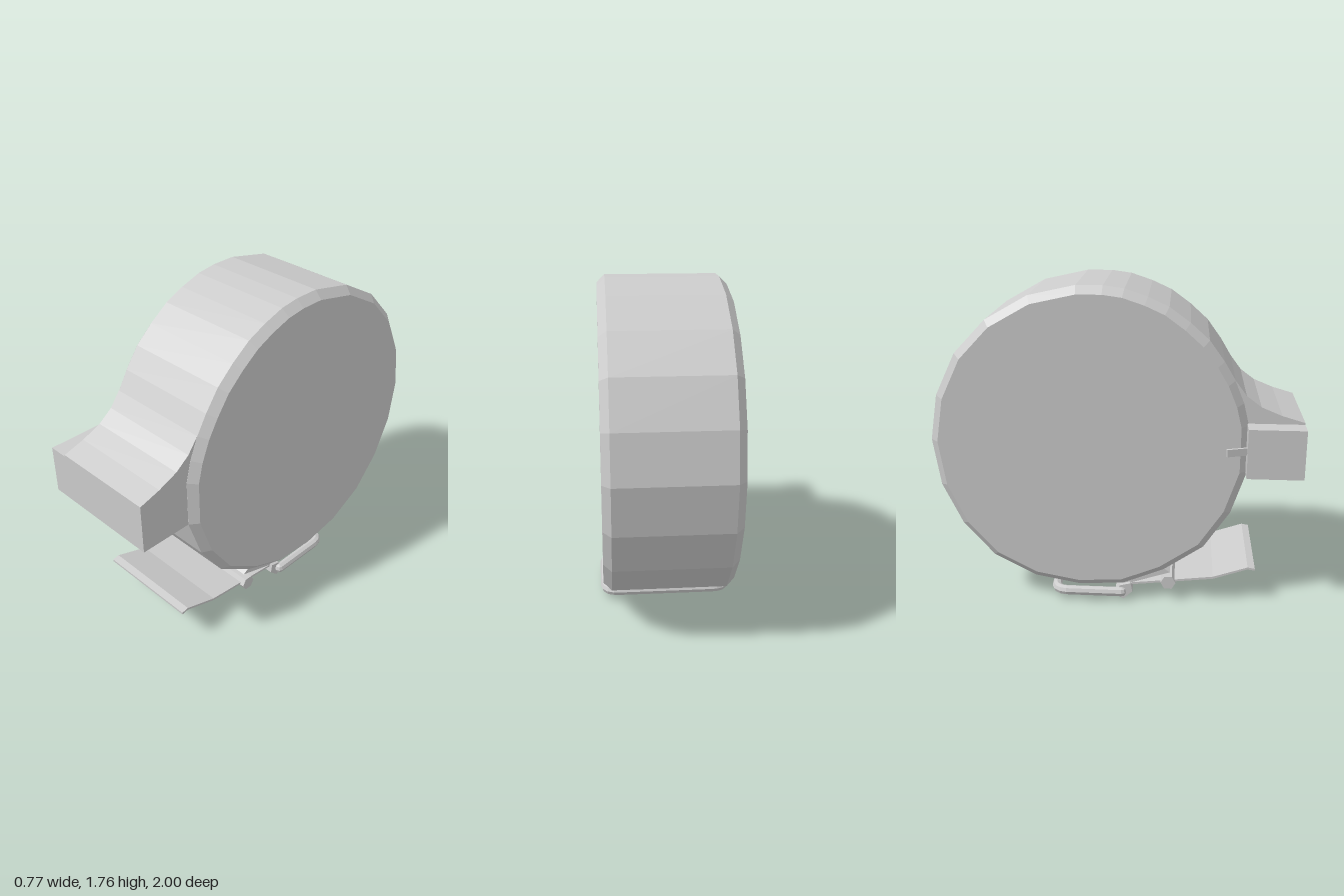
import * as THREE from 'three';

const grey = new THREE.MeshStandardMaterial({ color: 0xcccccc, flatShading: true });

export function createModel() {
  const model = new THREE.Group();

  function add(name, geometry, x = 0, y = 0, z = 0) {
    const mesh = new THREE.Mesh(geometry, grey);
    mesh.name = name;
    mesh.position.set(x, y, z);
    model.add(mesh);
    return mesh;
  }

  // Side outline given as [z, y], extruded along x from x0 to x1, optional chamfer
  function sideExtrude(points, x0, x1, chamfer = 0) {
    const shape = new THREE.Shape(points.map(([z, y]) => new THREE.Vector2(-z, y)));
    return new THREE.ExtrudeGeometry(shape, {
      depth: x1 - x0 - 2 * chamfer,
      bevelEnabled: chamfer > 0,
      bevelSegments: 1,
      bevelSize: chamfer,
      bevelOffset: -chamfer,
      bevelThickness: chamfer,
    }).translate(0, 0, x0 + chamfer).rotateY(Math.PI / 2);
  }

  // Chamfered round case: coarse at the back and bottom, finer at the upper front
  const caseOutline = [
    [-0.06, 1.765], [-0.2, 1.765], [-0.45, 1.71], [-0.68, 1.58], [-0.85, 1.4], [-0.96, 1.17],
    [-1, 0.92], [-0.96, 0.66], [-0.85, 0.43], [-0.68, 0.24], [-0.45, 0.12], [-0.2, 0.075],
    [0.05, 0.09], [0.27, 0.18], [0.49, 0.33], [0.63, 0.54], [0.71, 0.78], [0.71, 1.04],
    [0.68, 1.16], [0.63, 1.28], [0.57, 1.38], [0.49, 1.49], [0.39, 1.58], [0.28, 1.66],
    [0.17, 1.71], [0.05, 1.75],
  ];
  add('case', sideExtrude(caseOutline, -0.31, 0.365, 0.042));

  // Mouth: curved fairing flowing into a square block that sticks out to one side
  add('mouthFairing', sideExtrude([
    [0.5, 1.3], [0.5, 0.78], [1, 0.78], [1, 1.06], [0.88, 1.095], [0.77, 1.14],
    [0.69, 1.2], [0.63, 1.28],
  ], -0.27, 0.322));
  add('mouthBlock', new THREE.BoxGeometry(0.13, 0.27, 0.3), -0.315, 0.915, 0.85);

  // Small catch behind the block
  const catchBar = add('catch', new THREE.BoxGeometry(0.015, 0.04, 0.12), -0.36, 0.92, 0.65);
  catchBar.rotation.y = 0.33;

  // Thin bent lever under the front, with its hinge rod and mount
  add('lever', sideExtrude([
    [0.78, 0.205], [0.74, 0.212], [0.55, 0.147], [0.3, 0.117], [0.08, 0.092],
    [0.08, 0.08], [0.3, 0.105], [0.55, 0.134], [0.74, 0.2], [0.78, 0.193],
  ], -0.27, 0.322));
  add('leverMount', sideExtrude([
    [0.31, 0.165], [0.27, 0.19], [0.04, 0.11], [0.05, 0.08],
  ], -0.27, 0.322));
  const hexRod = new THREE.CylinderGeometry(0.042, 0.042, 0.64, 6).rotateZ(Math.PI / 2);
  add('leverHinge', hexRod, 0.028, 0.11, 0.3);

  // Wire loop lying under the case, with a hinge bar across its open end
  const path = new THREE.CurvePath();
  const corners = [
    [0.352, 0.04], [0.352, -0.26], [0.28, -0.332], [-0.24, -0.332], [-0.312, -0.26], [-0.312, 0.04],
  ].map(([x, z]) => new THREE.Vector3(x, 0.055, z));
  const bends = { 1: [0.352, -0.332], 3: [-0.312, -0.332] };
  for (let i = 0; i < corners.length - 1; i++) {
    const bend = bends[i];
    path.add(bend
      ? new THREE.QuadraticBezierCurve3(corners[i], new THREE.Vector3(bend[0], 0.055, bend[1]), corners[i + 1])
      : new THREE.LineCurve3(corners[i], corners[i + 1]));
  }
  add('wireLoop', new THREE.TubeGeometry(path, 48, 0.027, 8));
  for (const x of [0.352, -0.312]) {
    add('wireEnd', new THREE.SphereGeometry(0.027, 8, 4), x, 0.055, 0.04);
  }
  add('loopHinge', sideExtrude([
    [0.09, 0.1], [0.03, 0.085], [0.0, 0.03], [0.05, 0.003], [0.1, 0.05],
  ], -0.295, 0.34));

  return model;
}
